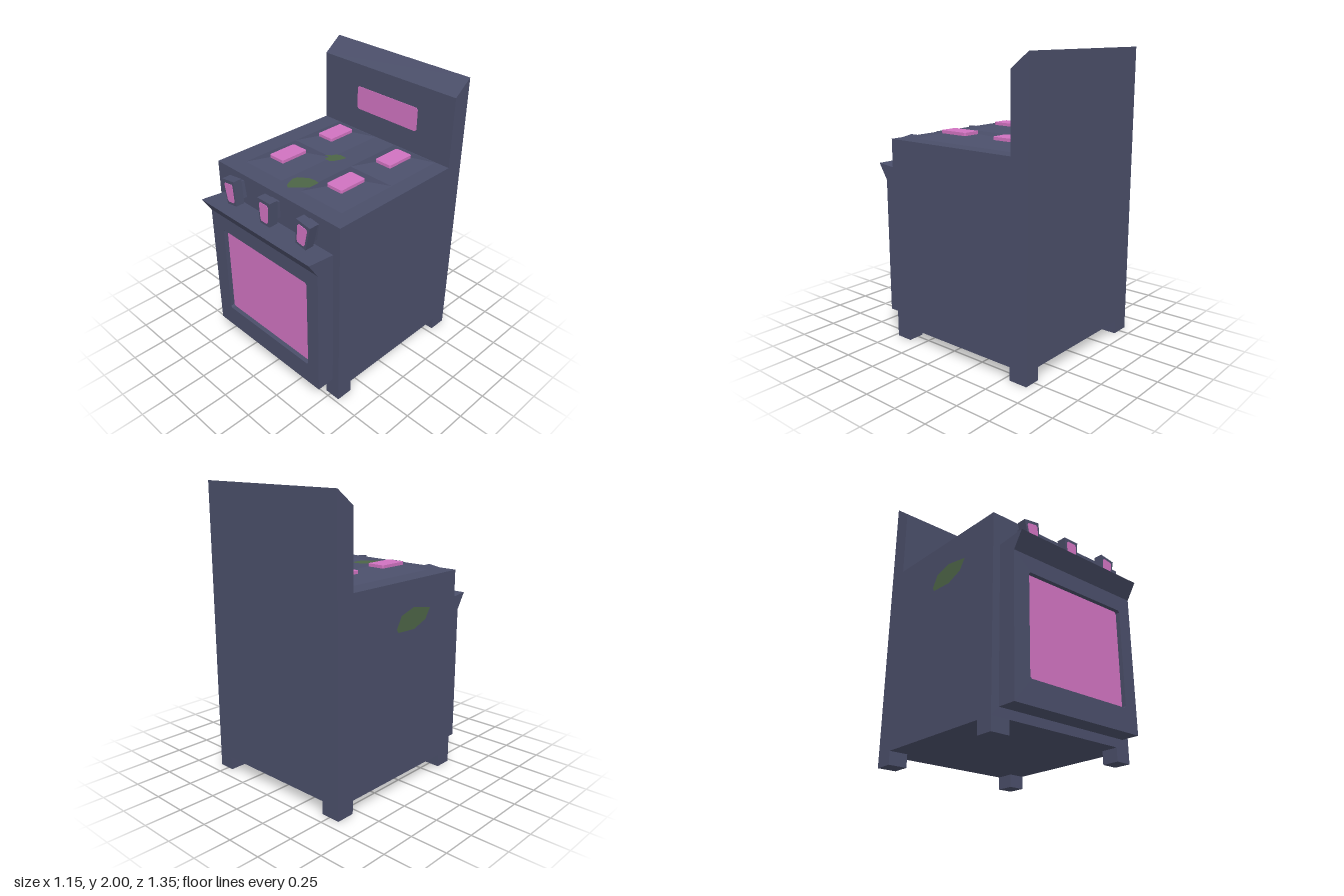
import * as THREE from 'three';

const enamel = new THREE.MeshStandardMaterial({ name: 'slate enamel', color: 0x4a4e69 });
const pink = new THREE.MeshStandardMaterial({ name: 'pink panel', color: 0xcf72bf });
const green = new THREE.MeshStandardMaterial({ name: 'green stain', color: 0x4c6446 });

const polygon = (pts) => new THREE.Shape(pts.map(([x, y]) => new THREE.Vector2(x, y)));
const extrude = (shape, depth) => new THREE.ExtrudeGeometry(shape, { depth, bevelEnabled: false });

// Rectangle with small clipped corners
function clippedRect(x0, x1, y0, y1, c = 0.012) {
  return polygon([[x0 + c, y0], [x1 - c, y0], [x1, y0 + c], [x1, y1 - c],
    [x1 - c, y1], [x0 + c, y1], [x0, y1 - c], [x0, y0 + c]]);
}

// Side profile given as [z, y], extruded across x and centred
function acrossX(profile, width) {
  return extrude(polygon(profile), width).translate(0, 0, -width / 2).rotateY(-Math.PI / 2);
}

function boxBetween(x0, x1, y0, y1, z0, z1) {
  return new THREE.BoxGeometry(x1 - x0, y1 - y0, z1 - z0)
    .translate((x0 + x1) / 2, (y0 + y1) / 2, (z0 + z1) / 2);
}

// Box whose vertices are moved by a rule
function shapedBox(w, h, d, rule) {
  const g = new THREE.BoxGeometry(w, h, d);
  const p = g.attributes.position;
  const v = new THREE.Vector3();
  for (let i = 0; i < p.count; i++) {
    rule(v.fromBufferAttribute(p, i));
    p.setXYZ(i, v.x, v.y, v.z);
  }
  g.computeVertexNormals();
  return g;
}

export function createModel() {
  const root = new THREE.Group();
  root.name = 'cooker';
  const add = (name, geometry, material, parent = root) => {
    const m = new THREE.Mesh(geometry, material);
    m.name = name;
    parent.add(m);
    return m;
  };

  // Cabinet with the sloped-top back panel
  add('cabinet', acrossX([[-0.675, 0.09], [0.475, 0.09], [0.475, 1.405],
    [-0.545, 1.405], [-0.545, 1.9], [-0.675, 2]], 1.15), enamel);
  add('backDisplay', extrude(clippedRect(-0.255, 0.285, 1.57, 1.74), 0.004).translate(0, 0, -0.545), pink);

  // Feet
  for (const [x0, x1] of [[-0.575, -0.44], [0.46, 0.575]]) {
    for (const [z0, z1] of [[-0.675, -0.545], [0.355, 0.475]]) {
      add('foot', boxBetween(x0, x1, 0, 0.09, z0, z1), enamel);
    }
  }

  // Oven door: slab, frame with a recessed window, and wedge handle
  const door = new THREE.Group();
  door.name = 'ovenDoor';
  root.add(door);
  add('doorSlab', boxBetween(-0.52, 0.52, 0.15, 1.1, 0.475, 0.57), enamel, door);
  const frame = polygon([[-0.52, 0.15], [0.52, 0.15], [0.52, 1.1], [-0.52, 1.1]]);
  frame.holes.push(clippedRect(-0.4, 0.42, 0.31, 0.99));
  add('doorFrame', extrude(frame, 0.035).translate(0, 0, 0.57), enamel, door);
  add('ovenWindow', extrude(clippedRect(-0.4, 0.42, 0.31, 0.99), 0.004).translate(0, 0, 0.57), pink, door);
  add('doorHandle', acrossX([[0.475, 1.1], [0.605, 1.1], [0.675, 1.21], [0.475, 1.19]], 1.04), enamel, door);

  // Burners: low pyramids carrying a pink pad
  for (const x of [-0.255, 0.284]) {
    for (const [z0, z1, padZ] of [[-0.54, -0.1, -0.322], [-0.1, 0.35, 0.128]]) {
      const burner = new THREE.Group();
      burner.name = 'burner';
      burner.position.set(x, 1.405, padZ);
      root.add(burner);
      add('burnerBase', shapedBox(0.36, 0.035, 1, (v) => {
        const top = v.y > 0;
        v.y = top ? 0.035 : 0;
        if (top) v.x *= 0.13 / 0.36;
        v.z = top ? Math.sign(v.z) * 0.108 : (v.z > 0 ? z1 : z0) - padZ;
      }), enamel, burner);
      add('burnerPad', extrude(clippedRect(-0.065, 0.065, -0.108, 0.108, 0.008), 0.021)
        .rotateX(-Math.PI / 2).translate(0, 0.035, 0), pink, burner);
    }
  }

  // Control knobs: tapered blocks on short stems
  for (const [x, tilt] of [[-0.332, 0.15], [0.01, 0], [0.354, -0.15]]) {
    const knob = new THREE.Group();
    knob.name = 'knob';
    knob.position.set(x, 1.3, 0);
    knob.rotation.z = tilt;
    root.add(knob);
    add('knobStem', boxBetween(-0.038, 0.038, -0.06, 0.06, 0.475, 0.51), enamel, knob);
    add('knobBlock', shapedBox(0.12, 0.178, 0.065, (v) => {
      if (v.y < 0) v.x *= 0.75;
    }).translate(0, 0, 0.5425), enamel, knob);
    add('knobFace', extrude(polygon([[-0.026, -0.068], [0.026, -0.068], [0.034, -0.055], [0.041, 0.052],
      [0.032, 0.066], [-0.032, 0.066], [-0.041, 0.052], [-0.034, -0.055]]), 0.004)
      .translate(0, 0, 0.575), pink, knob);
  }

  // Stains on the hob, as [x, z]
  const hobStains = [
    [[-0.135, -0.05], [-0.125, -0.085], [-0.07, -0.15], [-0.05, -0.163], [0.005, -0.16],
      [0.005, -0.14], [-0.02, -0.075], [-0.045, -0.05]],
    [[-0.04, 0.285], [-0.03, 0.25], [0.03, 0.205], [0.08, 0.197], [0.14, 0.21],
      [0.16, 0.24], [0.085, 0.32], [0.02, 0.385], [-0.01, 0.36]],
  ];
  for (const pts of hobStains) {
    add('hobStain', new THREE.ShapeGeometry(polygon(pts.map(([x, z]) => [x, -z])))
      .rotateX(-Math.PI / 2).translate(0, 1.409, 0), green);
  }

  // Stain on the right side panel, as [z, y]
  add('sideStain', new THREE.ShapeGeometry(polygon([[-0.146, 1.11], [-0.1, 1.19], [0.02, 1.225],
    [0.194, 1.197], [0.147, 1.125], [0.03, 1.08], [-0.13, 1.085]]))
    .rotateY(-Math.PI / 2).translate(-0.579, 0, 0), green);

  return root;
}
